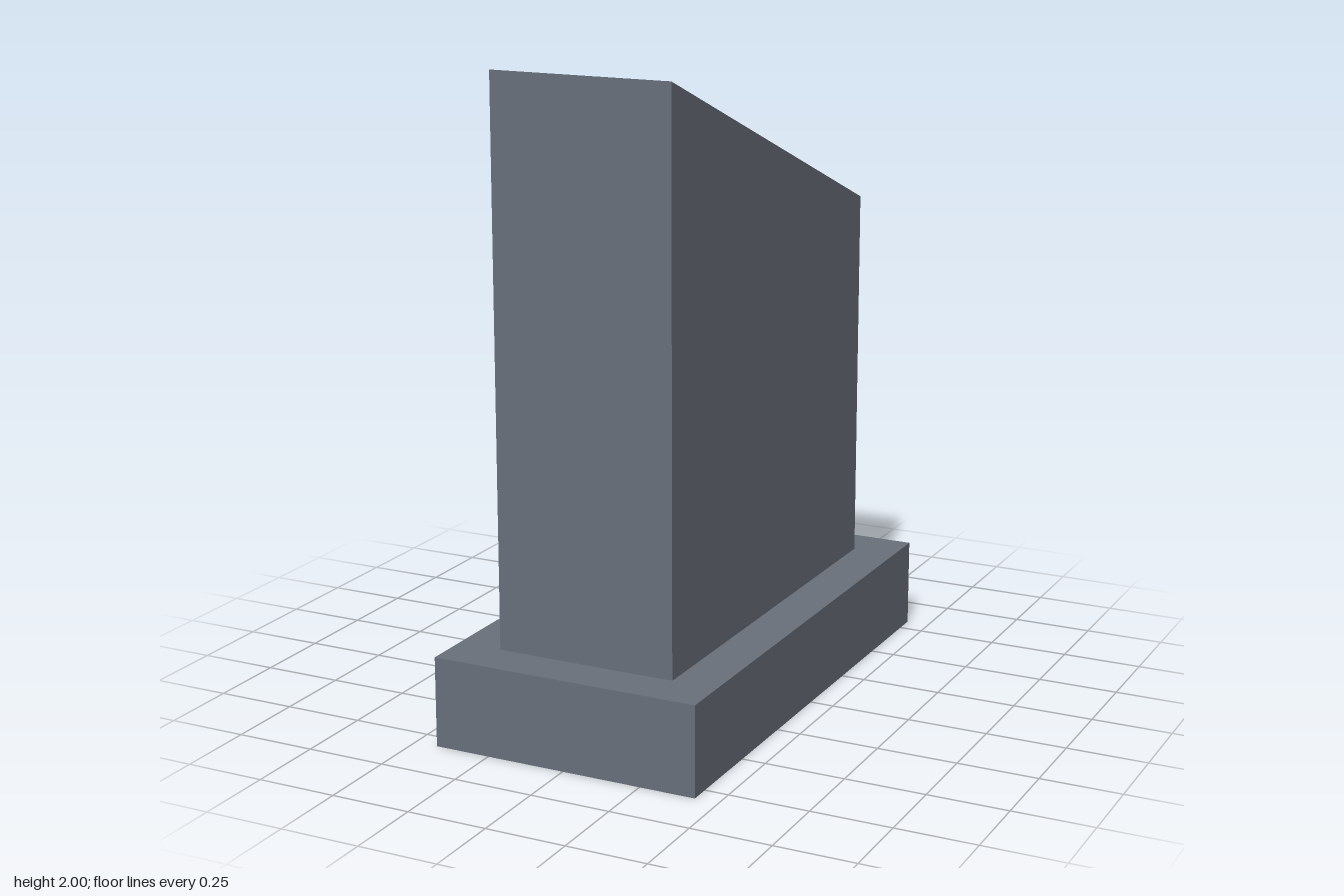
import * as THREE from 'three';

// Rectangular ring of four corners; the height may differ between front and back.
const ring = (x, z, yFront, yBack = yFront) => [
  [-x, yFront, z], [x, yFront, z], [x, yBack, -z], [-x, yBack, -z],
];

// Four flat quads joining a lower ring to an upper one.
const band = (lower, upper) => lower.map((p, i) => {
  const j = (i + 1) % 4;
  return [p, lower[j], upper[j], upper[i]];
});

function quadMesh(name, quads, material) {
  const positions = quads.flatMap(([a, b, c, d]) => [a, b, c, a, c, d].flat());
  const geometry = new THREE.BufferGeometry();
  geometry.setAttribute('position', new THREE.Float32BufferAttribute(positions, 3));
  geometry.computeVertexNormals();
  const mesh = new THREE.Mesh(geometry, material);
  mesh.name = name;
  return mesh;
}

export function createModel() {
  const slate = new THREE.MeshStandardMaterial({ color: 0x6a717b, side: THREE.DoubleSide, flatShading: true });
  slate.name = 'slate grey';

  const plinthBottom = ring(0.426, 0.815, 0);
  const plinthTop = ring(0.426, 0.815, 0.28);
  const shaftBottom = ring(0.285, 0.675, 0.28);
  const shaftTop = ring(0.285, 0.675, 2, 1.47);

  const model = new THREE.Group();
  model.name = 'slopedPillar';
  model.add(
    // Hollow shell, open underneath
    quadMesh('plinthWalls', band(plinthBottom, plinthTop), slate),
    quadMesh('plinthLedge', band(plinthTop, shaftBottom), slate),
    quadMesh('shaftWalls', band(shaftBottom, shaftTop), slate),
    // Roof falling from front to back
    quadMesh('slopedRoof', [shaftTop], slate),
  );
  return model;
}
